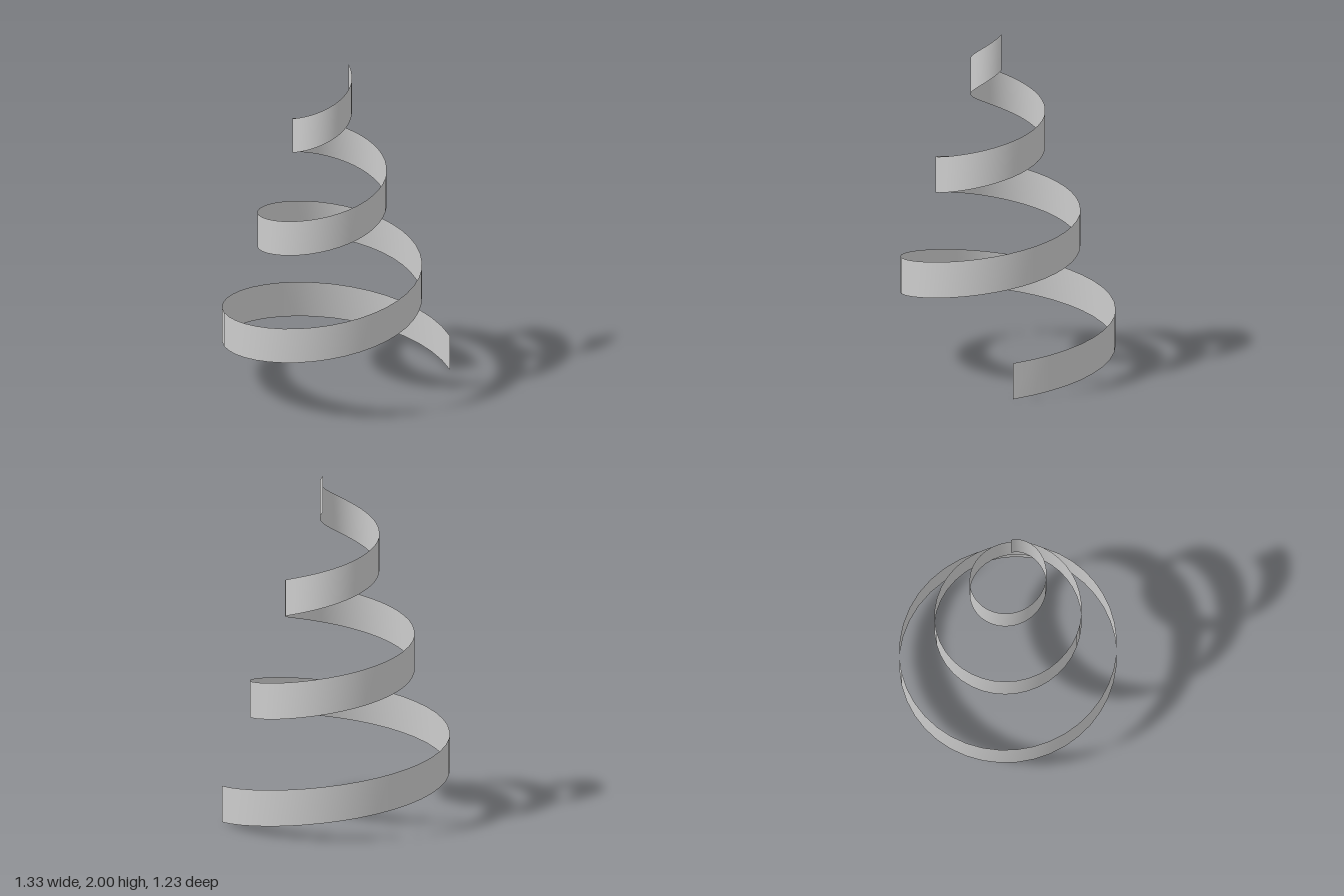
import * as THREE from 'three';

const TURNS = 3;
const SEGMENTS = 120;
const RADIUS_BOTTOM = 0.714;
const RADIUS_TOP = 0.107;
const BAND = 0.214; // height of the ribbon
const RISE = 2 - BAND; // climb from first to last edge
const AXIS_X = -0.051;
const AXIS_Z = 0.051;

export function createModel() {
  const grey = new THREE.MeshStandardMaterial({ color: 0xcccccc, side: THREE.DoubleSide });
  grey.name = 'lightGrey';

  // Upright ribbon: a unit strip wound around a cone, bottom to top
  const geometry = new THREE.PlaneGeometry(1, 1, SEGMENTS, 1);
  const pos = geometry.attributes.position;
  for (let i = 0; i < pos.count; i++) {
    const t = pos.getX(i) + 0.5;
    const v = pos.getY(i) + 0.5;
    const angle = t * TURNS * Math.PI * 2;
    const r = THREE.MathUtils.lerp(RADIUS_BOTTOM, RADIUS_TOP, t);
    pos.setXYZ(
      i,
      AXIS_X + r * Math.cos(angle),
      t * RISE + v * BAND,
      AXIS_Z - r * Math.sin(angle)
    );
  }
  geometry.computeVertexNormals();

  const ribbon = new THREE.Mesh(geometry, grey);
  ribbon.name = 'spiralRibbon';

  const group = new THREE.Group();
  group.name = 'conicalSpiral';
  group.add(ribbon);
  return group;
}
